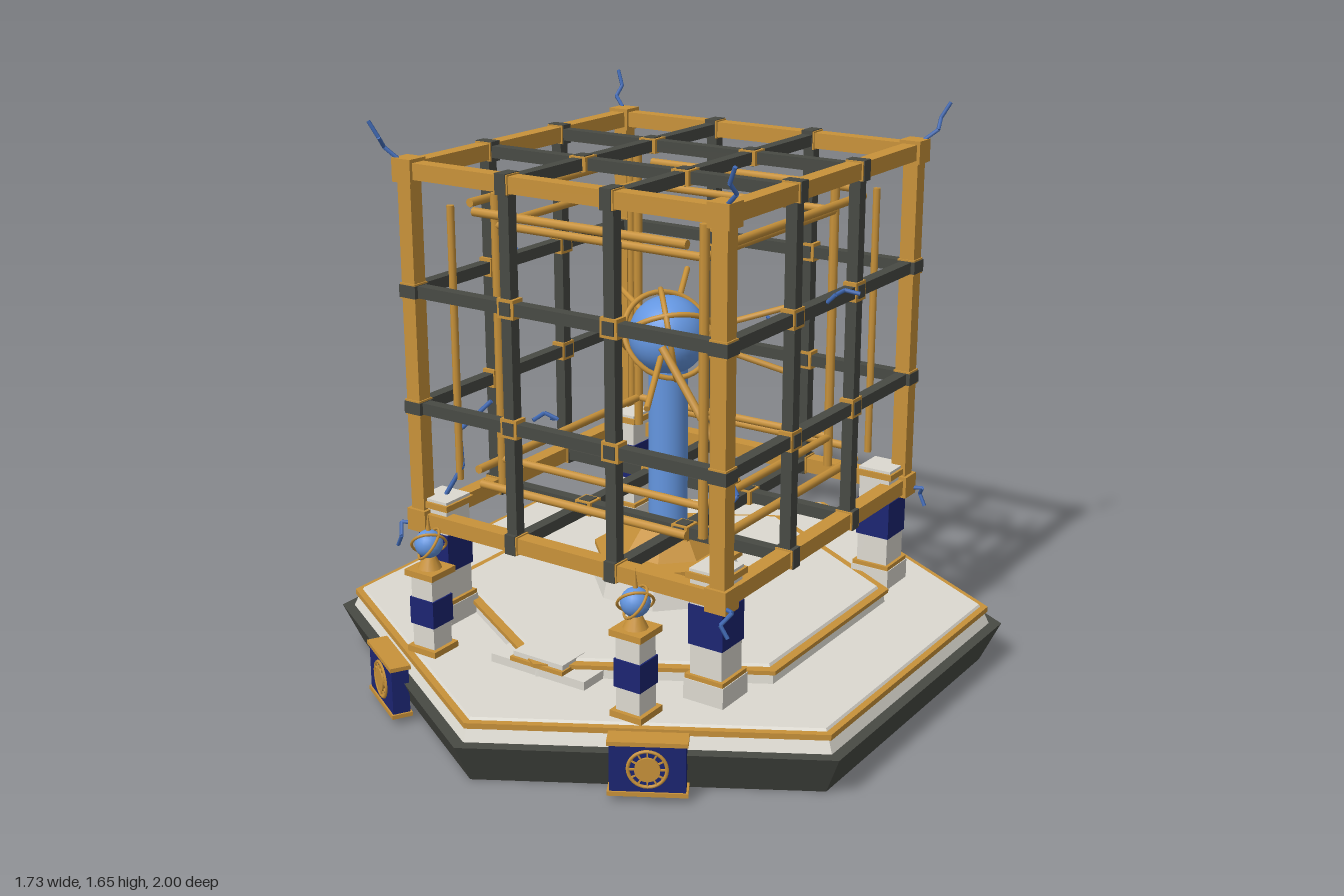
import * as THREE from 'three';
import { toCreasedNormals } from 'three/addons/utils/BufferGeometryUtils.js';

const mat = (name, color) => {
  const m = new THREE.MeshStandardMaterial({ color });
  m.name = name;
  return m;
};

export function createModel() {
  const gold = mat('gold', 0xc8923a);
  const stone = mat('pale stone', 0xdcd9d0);
  const dark = mat('dark iron', 0x484a44);
  const navy = mat('navy', 0x1c2572);
  const blue = mat('glowing blue', 0x6496e0);
  const spark = mat('spark blue', 0x426cb8);
  const root = new THREE.Group();

  const group = (name, parent = root) => {
    const g = new THREE.Group();
    g.name = name;
    parent.add(g);
    return g;
  };
  const add = (parent, name, geo, material, x = 0, y = 0, z = 0) => {
    const m = new THREE.Mesh(geo, material);
    m.name = name;
    m.position.set(x, y, z);
    parent.add(m);
    return m;
  };
  const box = (parent, name, material, w, h, d, x, y, z) =>
    add(parent, name, new THREE.BoxGeometry(w, h, d), material, x, y, z);
  // Flat-sided frustum between two heights
  const prism = (parent, name, material, sides, r0, r1, y0, y1, turn = 0) => {
    const geo = new THREE.CylinderGeometry(r1, r0, y1 - y0, sides);
    geo.rotateY(turn);
    return add(parent, name, toCreasedNormals(geo, 0.3), material, 0, (y0 + y1) / 2, 0);
  };
  // Round rod between two points
  const rod = (parent, name, material, a, b, r, sides = 8) => {
    const A = new THREE.Vector3(...a), B = new THREE.Vector3(...b);
    const dir = B.clone().sub(A);
    const m = add(parent, name, new THREE.CylinderGeometry(r, r, dir.length(), sides), material);
    m.position.copy(A).add(B).multiplyScalar(0.5);
    m.quaternion.setFromUnitVectors(new THREE.Vector3(0, 1, 0), dir.normalize());
    return m;
  };
  const zigzag = (parent, name, pts, r = 0.006) => {
    const g = group(name, parent);
    for (let i = 1; i < pts.length; i++) rod(g, name + 'Segment', spark, pts[i - 1], pts[i], r, 5);
  };
  const signs = [-1, 1];

  // Hexagonal platform
  const base = group('platform');
  prism(base, 'plinth', dark, 6, 0.94, 1, 0, 0.12);
  prism(base, 'lowerTier', stone, 6, 0.963, 0.945, 0.12, 0.157);
  prism(base, 'lowerTrim', gold, 6, 0.957, 0.957, 0.157, 0.173);
  prism(base, 'lowerFloor', stone, 6, 0.935, 0.93, 0.173, 0.18);
  prism(base, 'upperTier', stone, 6, 0.65, 0.645, 0.18, 0.21);
  prism(base, 'upperTrim', gold, 6, 0.66, 0.66, 0.21, 0.222);
  prism(base, 'upperFloor', stone, 6, 0.63, 0.625, 0.222, 0.23);
  box(base, 'lowerStep', stone, 0.32, 0.025, 0.2, 0, 0.1925, 0.545);
  box(base, 'stepTrim', gold, 0.18, 0.012, 0.1, 0, 0.211, 0.6);
  box(base, 'upperStep', stone, 0.17, 0.015, 0.1, 0, 0.224, 0.59);

  // Central pedestal, column and orb
  const core = group('centrepiece');
  const t8 = Math.PI / 8;
  prism(core, 'drum', stone, 8, 0.23, 0.205, 0.23, 0.33, t8);
  prism(core, 'drumRim', gold, 8, 0.225, 0.225, 0.33, 0.345, t8);
  prism(core, 'collar', gold, 8, 0.15, 0.095, 0.345, 0.42, t8);
  add(core, 'column', new THREE.CylinderGeometry(0.058, 0.058, 0.5, 24), blue, 0, 0.66, 0);
  add(core, 'orb', new THREE.SphereGeometry(0.115, 32, 20), blue, 0, 1, 0);
  for (const [rx, ry] of [[1.05, 0.5], [-0.9, 0.75], [0.25, -0.9]])
    add(core, 'orbRing', new THREE.TorusGeometry(0.133, 0.008, 8, 40), gold, 0, 1, 0).rotation.set(rx, ry, 0);

  // Struts reaching out from the orb
  for (const [x, z] of [[-0.335, -0.16], [0.335, -0.16], [-0.155, -0.335], [0.155, 0.335]])
    for (const s of signs)
      rod(core, 'strut', gold, [x * 0.36, 1 + s * 0.03, z * 0.36], [x, 1 + s * 0.105, z], 0.009);
  rod(core, 'longStrut', gold, [0.06, 1, 0.12], [0.345, 0.67, 0.17], 0.012);

  // Cube lattice: along each axis, edges, dark bars and clasps
  const cage = group('cage');
  const H = 0.51, G = 0.17;
  const along = (name, material, u, length, v, w, offset, thick) => {
    const size = [thick, thick, thick], p = [0, 0, 0];
    size[u] = length;
    p[u] = offset;
    p[(u + 1) % 3] = v;
    p[(u + 2) % 3] = w;
    box(cage, name, material, ...size, p[0], p[1] + 1, p[2]);
  };
  for (let u = 0; u < 3; u++)
    for (const a of signs)
      for (const b of signs) {
        along('edgeBeam', gold, u, 2 * H, a * H, b * H, 0, 0.046);
        along('gridBar', dark, u, 2 * H, a * G, b * H, 0, 0.034);
        along('gridBar', dark, u, 2 * H, a * H, b * G, 0, 0.034);
        for (const s of signs) {
          along('edgeClasp', gold, u, 0.046, a * H, b * H, s * G, 0.054);
          along('edgeBand', dark, u, 0.036, a * H, b * H, s * G, 0.058);
          // Crossing clasp on the face whose normal is u
          along('crossClasp', gold, u, 0.042, a * G, b * G, s * H, 0.055);
          along('crossPlate', dark, u, 0.048, a * G, b * G, s * H, 0.037);
        }
      }
  for (const x of signs) for (const y of signs) for (const z of signs)
    box(cage, 'cornerBlock', gold, 0.066, 0.066, 0.066, x * H, 1 + y * H, z * H);

  // Two nested sets of thin rods inside the cage
  const inner = group('innerFrame');
  for (const a of signs)
    for (const b of signs) {
      const i = 0.345;
      rod(inner, 'innerPost', gold, [a * i, 0.565, b * i], [a * i, 1.435, b * i], 0.014);
      rod(inner, 'innerRailX', gold, [-i, 1 + a * i, b * i], [i, 1 + a * i, b * i], 0.012);
      rod(inner, 'innerRailZ', gold, [a * i, 1 + b * i, -i], [a * i, 1 + b * i, i], 0.012);
      rod(inner, 'outerPost', gold, [a * 0.433, 0.6, b * 0.433], [a * 0.433, 1.405, b * 0.433], 0.011);
      rod(inner, 'outerRailX', gold, [-0.35, 1 + a * 0.397, b * 0.433], [0.35, 1 + a * 0.397, b * 0.433], 0.013);
      rod(inner, 'outerRailZ', gold, [a * 0.433, 1 + b * 0.397, -0.35], [a * 0.433, 1 + b * 0.397, 0.35], 0.013);
    }

  // Corner piers holding the cage
  for (const x of signs)
    for (const z of signs) {
      const pier = group('pier');
      pier.position.set(x * 0.467, 0, z * 0.467);
      box(pier, 'pierFoot', stone, 0.125, 0.06, 0.125, 0, 0.21, 0);
      box(pier, 'pierFootTrim', gold, 0.12, 0.015, 0.12, 0, 0.245, 0);
      box(pier, 'pierShaft', stone, 0.1, 0.29, 0.1, 0, 0.39, 0);
      box(pier, 'pierBand', navy, 0.108, 0.115, 0.108, 0, 0.397, 0);
      box(pier, 'pierTrim', gold, 0.12, 0.018, 0.12, 0, 0.539, 0);
      box(pier, 'pierCap', stone, 0.105, 0.008, 0.105, 0, 0.552, 0);
    }

  // Front posts topped with ringed orbs
  for (const x of signs) {
    const post = group('frontPost');
    post.position.set(x * 0.35, 0, 0.672);
    box(post, 'postFoot', gold, 0.1, 0.018, 0.1, 0, 0.189, 0);
    box(post, 'postShaft', stone, 0.075, 0.23, 0.075, 0, 0.3, 0);
    box(post, 'postBand', navy, 0.084, 0.08, 0.084, 0, 0.305, 0);
    box(post, 'postCap', gold, 0.1, 0.018, 0.1, 0, 0.42, 0);
    add(post, 'orbStand', new THREE.CylinderGeometry(0.018, 0.035, 0.035, 12), gold, 0, 0.445, 0);
    add(post, 'smallOrb', new THREE.SphereGeometry(0.04, 20, 14), blue, 0, 0.5, 0);
    for (const r of [0.8, -0.8])
      add(post, 'smallRing', new THREE.TorusGeometry(0.048, 0.004, 6, 28), gold, 0, 0.5, 0).rotation.set(r, r * 0.7, 0);
    add(post, 'finial', new THREE.ConeGeometry(0.007, 0.055, 8), gold, 0, 0.568, 0);
  }

  // Plaques on the two front faces of the plinth
  for (const x of signs) {
    const plaque = group('plaque');
    plaque.position.set(x * 0.445, 0.097, 0.755);
    plaque.rotation.y = x * Math.PI / 6;
    box(plaque, 'panel', navy, 0.2, 0.14, 0.05, 0, 0, 0);
    for (const s of signs) box(plaque, 'panelTrim', gold, 0.212, 0.012, 0.06, 0, s * 0.072, 0);
    add(plaque, 'medalRing', new THREE.TorusGeometry(0.051, 0.005, 6, 32), gold, 0, 0, 0.026);
    const disc = add(plaque, 'medalDisc', new THREE.CylinderGeometry(0.034, 0.034, 0.008, 24), gold, 0, 0, 0.028);
    disc.rotation.x = Math.PI / 2;
    for (let i = 0; i < 12; i++) {
      const a = i * Math.PI / 6;
      box(plaque, 'medalRay', gold, 0.018, 0.004, 0.005, 0.042 * Math.cos(a), 0.042 * Math.sin(a), 0.027).rotation.z = a;
    }
  }

  // Sparks leaping from corners, faces and front piers
  const sparks = group('sparks');
  for (const x of signs) {
    for (const z of signs) {
      const at = (d, y) => [x * d, y, z * d];
      zigzag(sparks, 'topSpark', [at(0.53, 1.54), [x * 0.565, 1.57, z * 0.545], [x * 0.56, 1.6, z * 0.57], at(0.583, 1.645)]);
      zigzag(sparks, 'bottomSpark', [at(0.53, 0.475), [x * 0.565, 0.475, z * 0.545], [x * 0.545, 0.445, z * 0.57], at(0.565, 0.41)]);
    }
    zigzag(sparks, 'sideSpark', [[x * 0.53, 1.18, 0.02], [x * 0.555, 1.205, 0.02], [x * 0.565, 1.213, -0.01], [x * 0.605, 1.205, -0.025]]);
    zigzag(sparks, 'faceSpark', [[-0.02, 0.89, x * 0.53], [0.02, 0.905, x * 0.56], [-0.01, 0.92, x * 0.575], [-0.025, 0.905, x * 0.605]]);
    zigzag(sparks, 'pierSpark', [[x * 0.465, 0.555, 0.46], [x * 0.425, 0.64, 0.43], [x * 0.475, 0.725, 0.38], [x * 0.385, 0.82, 0.34]], 0.007);
  }
  return root;
}
